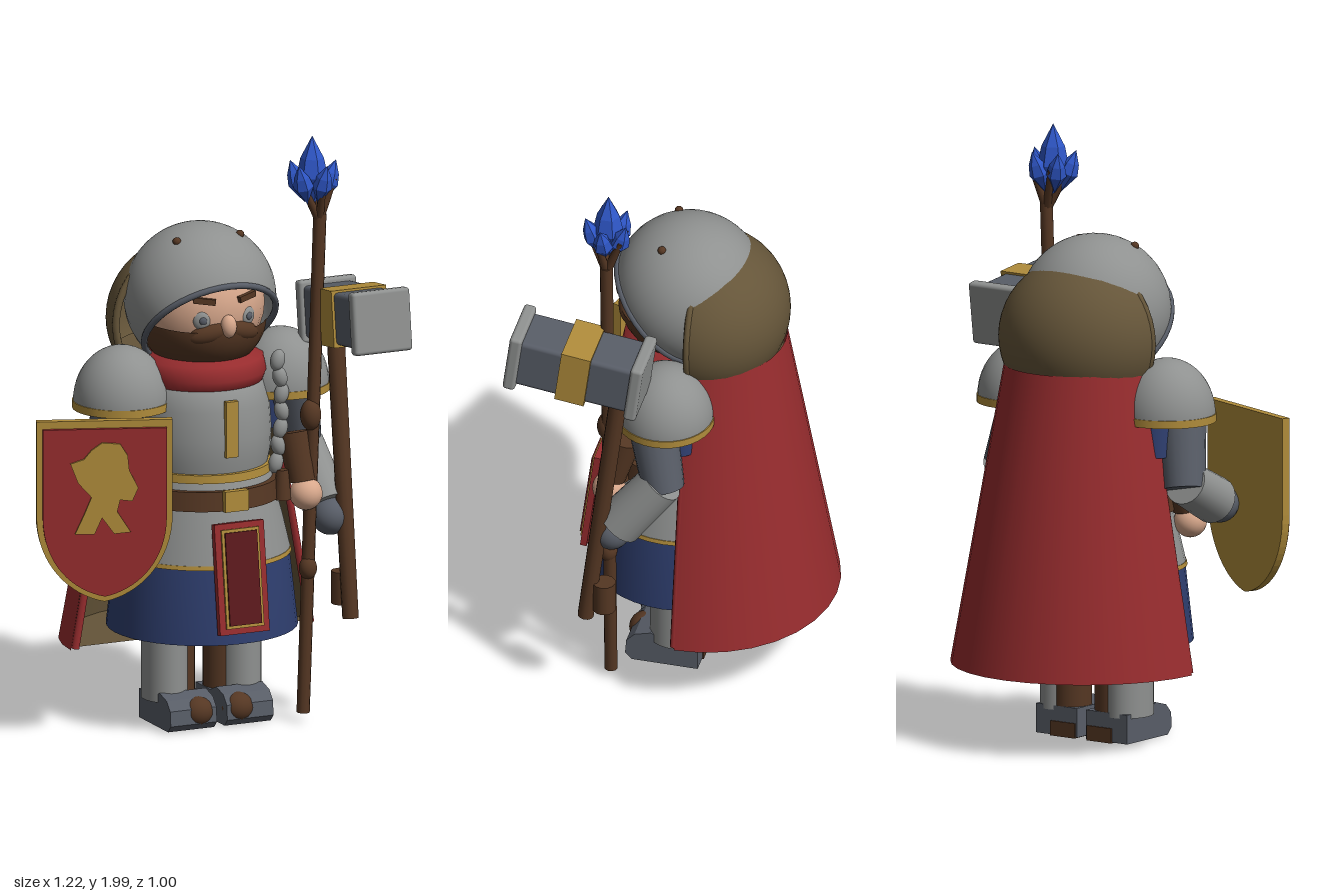
import * as THREE from 'three';
import { RoundedBoxGeometry } from 'three/addons/geometries/RoundedBoxGeometry.js';

const mat = (name, color, side = THREE.FrontSide) => {
  const m = new THREE.MeshStandardMaterial({ color, side });
  m.name = name;
  return m;
};
const V = (x, y, z) => new THREE.Vector3(x, y, z);

export function createModel() {
  const D = THREE.DoubleSide;
  const steel = mat('light steel', 0x8f9190, D), iron = mat('dark iron', 0x585d67);
  const brown = mat('brown leather', 0x553723), fur = mat('khaki lining', 0x655539, D);
  const red = mat('red cloth', 0x972c2e, D), maroon = mat('dark red', 0x5c191c);
  const gold = mat('gold', 0xb08c3b), blue = mat('blue cloth', 0x2f3f70, D);
  const crystal = mat('blue crystal', 0x2f57c8), skin = mat('skin', 0xd8a88c);
  crystal.flatShading = true;

  const root = new THREE.Group();
  root.name = 'armouredDwarf';
  const body = new THREE.Group();
  body.name = 'body';
  body.position.x = 0.063;
  root.add(body);

  // Helpers
  const add = (parent, name, geo, material, p = [0, 0, 0], r = [0, 0, 0], s = [1, 1, 1]) => {
    const m = new THREE.Mesh(geo, material);
    m.name = name;
    m.position.set(...p);
    m.rotation.set(...r);
    m.scale.set(...s);
    parent.add(m);
    return m;
  };
  const box = (x, y, z) => new THREE.BoxGeometry(x, y, z);
  const ball = (r) => new THREE.SphereGeometry(r, 24, 16);
  const cyl = (a, b, h, n = 32) => new THREE.CylinderGeometry(a, b, h, n);
  const rod = (parent, name, a, b, r1, r2, material, n = 20) => {
    const d = V(...b).sub(V(...a));
    const m = add(parent, name, cyl(r2, r1, d.length(), n), material,
      V(...a).addScaledVector(d, 0.5).toArray());
    m.quaternion.setFromUnitVectors(V(0, 1, 0), d.normalize());
    return m;
  };
  const lathe = (pts) => new THREE.LatheGeometry(pts.map(p => new THREE.Vector2(...p)), 40);
  const plate = (shape, depth) =>
    new THREE.ExtrudeGeometry(shape, { depth, bevelEnabled: false, curveSegments: 16 });

  // Head and face
  add(body, 'face', ball(0.212), skin, [0, 1.43, 0.005]);
  add(body, 'beard', new THREE.SphereGeometry(0.222, 32, 16, 0, Math.PI * 2, Math.PI * 0.5, Math.PI * 0.5),
    brown, [0, 1.385, 0.01], [0.06, 0, 0], [0.97, 0.85, 1]);
  add(body, 'nose', ball(0.03), skin, [0, 1.39, 0.222], [0, 0, 0], [0.9, 1.3, 0.9]);
  for (const s of [-1, 1]) {
    add(body, 'moustache', ball(0.05), brown, [s * 0.06, 1.365, 0.195], [0, s * 0.3, s * -0.25], [1.4, 0.65, 0.6]);
    add(body, 'eye', ball(0.03), steel, [s * 0.083, 1.412, 0.19], [0, s * 0.4, 0], [1, 1.1, 0.5]);
    add(body, 'pupil', ball(0.013), iron, [s * 0.084, 1.412, 0.204], [0, s * 0.4, 0], [1, 1, 0.5]);
    add(body, 'eyebrow', box(0.075, 0.02, 0.02), brown, [s * 0.076, 1.478, 0.196], [0, s * 0.4, s * 0.12]);
  }

  // Helmet, tipped back so that its rim arches over the face
  const helmet = new THREE.Group();
  helmet.name = 'helmet';
  helmet.position.set(0, 1.44, 0);
  helmet.rotation.x = -0.8;
  body.add(helmet);
  const cut = 2.01;
  add(helmet, 'helmetShell', new THREE.SphereGeometry(0.252, 40, 24, 0, Math.PI * 2, 0, cut), steel);
  add(helmet, 'helmetRim', new THREE.TorusGeometry(0.252 * Math.sin(cut), 0.011, 8, 40), iron,
    [0, 0.252 * Math.cos(cut), 0], [Math.PI / 2, 0, 0]);
  for (const s of [-1, 1]) add(body, 'helmetStud', ball(0.014), brown, [s * 0.115, 1.655, 0.065]);

  // Hood and cape, open to the front
  add(body, 'hood', new THREE.SphereGeometry(0.27, 32, 24, Math.PI, Math.PI), fur,
    [0, 1.36, -0.065], [0, 0, 0], [1.06, 1, 1]);
  add(body, 'hoodEdge', new THREE.TorusGeometry(0.27, 0.013, 8, 40), fur, [0, 1.36, -0.06], [0, 0, 0], [1.03, 0.97, 1]);
  const half = (a, b, h, open) => new THREE.CylinderGeometry(a, b, h, 16, 1, open, Math.PI / 2, Math.PI);
  add(body, 'cape', half(0.265, 0.442, 1.0, true), red, [0, 0.77, -0.06]);
  add(body, 'capeLining', half(0.245, 0.415, 0.985, false), fur, [0, 0.772, -0.06]);
  for (const s of [-1, 1])
    rod(body, 'capeEdge', [s * 0.428, 0.275, -0.056], [s * 0.255, 1.25, -0.056], 0.014, 0.012, red, 8);

  // Torso, collar and skirts
  add(body, 'collar', lathe([[0.15, 1.27], [0.205, 1.25], [0.215, 1.2], [0.2, 1.16], [0.15, 1.16]].reverse()), red, [0, 0, 0.01]);
  add(body, 'breastplate', lathe([[0.215, 0.87], [0.228, 0.93], [0.232, 1.0], [0.225, 1.1], [0.2, 1.18], [0.12, 1.23]]), steel, [0, 0, 0.01]);
  add(body, 'breastplateTrim', cyl(0.23, 0.232, 0.028, 40), gold, [0, 0.878, 0.015]);
  add(body, 'chestBar', box(0.044, 0.19, 0.02), gold, [0, 1.045, 0.243]);
  add(body, 'waist', cyl(0.222, 0.24, 0.06, 40), steel, [0, 0.85, 0.012]);
  add(body, 'belt', cyl(0.255, 0.262, 0.065, 40), brown, [0, 0.808, 0.012]);
  add(body, 'buckle', box(0.085, 0.07, 0.025), gold, [0, 0.81, 0.275]);
  add(body, 'mailSkirt', lathe([[0.292, 0.595], [0.265, 0.71], [0.24, 0.8]]), steel, [0, 0, 0.015]);
  add(body, 'skirtTrim', cyl(0.293, 0.296, 0.014, 40), gold, [0, 0.592, 0.015]);
  add(body, 'blueSkirt', lathe([[0.05, 0.345], [0.3, 0.335], [0.317, 0.335], [0.288, 0.595]]), blue, [0, 0, 0.015]);

  // Hanging front panel
  const panel = new THREE.Group();
  panel.name = 'frontPanel';
  panel.position.set(0, 0.557, 0.315);
  panel.rotation.x = -0.13;
  body.add(panel);
  add(panel, 'panelBorder', box(0.18, 0.37, 0.022), red);
  add(panel, 'panelTrim', box(0.136, 0.33, 0.008), gold, [0, 0, 0.014]);
  add(panel, 'panelCentre', box(0.116, 0.31, 0.008), maroon, [0, 0, 0.02]);

  // Legs and shoes
  const shoe = new THREE.Shape([[-0.075, 0.012], [0.15, 0.012], [0.172, 0.035], [0.168, 0.085], [0.14, 0.115],
    [0.085, 0.13], [0.04, 0.11], [-0.075, 0.11]].map(p => new THREE.Vector2(...p)));
  for (const s of [-1, 1]) {
    add(body, 'legArmour', cyl(0.074, 0.074, 0.3), steel, [s * 0.135, 0.245, 0.01], [0, 0, 0], [1, 1, 1.2]);
    add(body, 'trouser', cyl(0.065, 0.065, 0.34), brown, [s * 0.086, 0.2, -0.01]);
    add(body, 'shoe', plate(shoe, 0.168), iron, [s * 0.103 + 0.084, 0, 0], [0, -Math.PI / 2, 0]);
    add(body, 'toeCap', ball(0.05), brown, [s * 0.073, 0.068, 0.135], [0, 0, 0], [1.1, 1, 1]);
    add(body, 'innerSole', box(0.1, 0.05, 0.18), brown, [s * 0.075, 0.034, 0.01]);
  }

  // Shoulders and arms
  for (const s of [-1, 1]) {
    const left = s > 0;
    add(body, 'shoulderPlate', new THREE.SphereGeometry(0.16, 32, 14, 0, Math.PI * 2, 0, Math.PI / 2), steel,
      [s * 0.29, 1.12, 0.008], [0, 0, 0], [1, 1.17, 1]);
    add(body, 'shoulderTrim', cyl(0.163, 0.163, 0.026), gold, [s * 0.29, 1.112, 0.008]);
    rod(body, 'sleeve', [s * 0.26, 1.13, -0.02], [s * 0.27, 0.98, -0.03], 0.075, 0.07, blue);
    const elbow = [s * 0.37, 0.88, -0.005];
    const hand = left ? [0.397, 0.69, 0.165] : [-0.363, 0.8, 0.2];
    const start = [elbow[0], elbow[1] + 0.02, 0];
    const wrist = V(...start).lerp(V(...hand), 0.85).toArray();
    rod(body, 'upperArm', [s * 0.315, 1.13, 0.05], elbow, 0.085, 0.07, iron);
    rod(body, 'forearm', start, wrist, 0.075, 0.08, steel);
    add(body, 'gauntlet', ball(0.064), iron, hand);
    // Bare inner hand with leather cuff
    const palm = left ? [0.292, 0.785, 0.2] : [-0.265, 0.735, 0.17];
    add(body, 'palm', ball(0.055), skin, palm);
    rod(body, 'cuff', [palm[0] - s * 0.01, palm[1] + 0.04, palm[2] - 0.01],
      [palm[0] - s * 0.02, palm[1] + 0.2, palm[2] - 0.05], 0.045, 0.058, brown);
  }

  // Braid falling over the left of the chest
  for (let i = 0; i < 7; i++)
    add(body, 'braid', ball(0.026), steel, [0.205 + 0.015 * Math.sin(i * 0.6), 1.24 - i * 0.058, 0.165],
      [0, 0, i % 2 ? 0.25 : -0.25], [0.95, 1.4, 0.9]);
  add(body, 'braidTie', cyl(0.02, 0.03, 0.1, 12), brown, [0.215, 0.82, 0.18]);

  // Shield
  const shield = new THREE.Group();
  shield.name = 'shield';
  shield.position.set(-0.395, 0, 0.232);
  shield.rotation.y = -0.353;
  root.add(shield);
  const crest = (w, top, low) => {
    const c = new THREE.Shape();
    c.moveTo(-w, top);
    c.lineTo(w, top);
    c.lineTo(w, 0.8);
    c.bezierCurveTo(w, 0.64, w * 0.5, low + 0.02, 0, low);
    c.bezierCurveTo(-w * 0.5, low + 0.02, -w, 0.64, -w, 0.8);
    c.closePath();
    return c;
  };
  add(shield, 'shieldBack', plate(crest(0.225, 1.125, 0.51), 0.028), gold, [0, 0, -0.014]);
  add(shield, 'shieldFace', plate(crest(0.205, 1.1, 0.53), 0.014), red, [0, 0, 0.014]);
  const beast = new THREE.Shape([[-0.01, 1.055], [0.05, 1.05], [0.075, 1.01], [0.08, 0.96], [0.11, 0.9], [0.09, 0.855],
    [0.05, 0.86], [0.04, 0.82], [0.085, 0.75], [0.03, 0.745], [-0.01, 0.8], [-0.035, 0.745], [-0.1, 0.745],
    [-0.07, 0.81], [-0.045, 0.87], [-0.09, 0.92], [-0.115, 0.985], [-0.07, 1.0], [-0.045, 1.03]].map(p => new THREE.Vector2(...p)));
  add(shield, 'shieldEmblem', plate(beast, 0.009), gold, [0, 0, 0.028]);

  // War hammer, leaning back
  const hammer = new THREE.Group();
  hammer.name = 'hammer';
  hammer.position.set(0.5, 1.39, 0.262);
  hammer.rotation.x = -0.128;
  root.add(hammer);
  add(hammer, 'hammerCore', new RoundedBoxGeometry(0.182, 0.175, 0.4, 2, 0.015), iron);
  add(hammer, 'hammerBand', box(0.2, 0.19, 0.1), gold);
  for (const s of [-1, 1])
    add(hammer, 'hammerFace', new RoundedBoxGeometry(0.21, 0.21, 0.042, 2, 0.012), steel, [0, 0, s * 0.207]);
  rod(root, 'hammerHandle', [0.497, 0.355, 0.243], [0.497, 1.34, 0.122], 0.027, 0.03, brown, 12);
  add(root, 'hammerGrip', cyl(0.038, 0.038, 0.11, 12), brown, [0.497, 0.447, 0.18]);

  // Staff with forked top and crystals
  rod(root, 'staff', [0.347, 0.04, 0.195], [0.408, 1.73, 0.195], 0.022, 0.022, brown, 10);
  add(root, 'staffKnot', ball(0.03), brown, [0.362, 0.53, 0.2], [0, 0, 0], [1, 1.3, 1]);
  add(root, 'staffKnot', ball(0.035), brown, [0.372, 1.05, 0.2], [0, 0, 0], [1, 1.5, 1]);
  for (let i = 0; i < 5; i++) {
    const a = i * Math.PI * 0.4 + 0.3;
    rod(root, 'staffProng', [0.405, 1.71, 0.195],
      [0.39 + 0.065 * Math.cos(a), 1.85, 0.195 + 0.065 * Math.sin(a)], 0.016, 0.01, brown, 8);
  }
  const gem = (r, h) => new THREE.LatheGeometry([[0, -h / 2], [r, -h * 0.05], [r * 0.75, h * 0.2], [0, h / 2]]
    .map(p => new THREE.Vector2(...p)), 6);
  add(root, 'mainCrystal', gem(0.052, 0.25), crystal, [0.38, 1.873, 0.195]);
  for (let i = 0; i < 5; i++) {
    const a = i * Math.PI * 0.4 + 0.1;
    add(root, 'sideCrystal', gem(0.034, 0.15), crystal,
      [0.383 + 0.055 * Math.cos(a), 1.84, 0.195 + 0.05 * Math.sin(a)],
      [Math.sin(a) * 0.35, 0, -Math.cos(a) * 0.35]);
  }
  return root;
}
